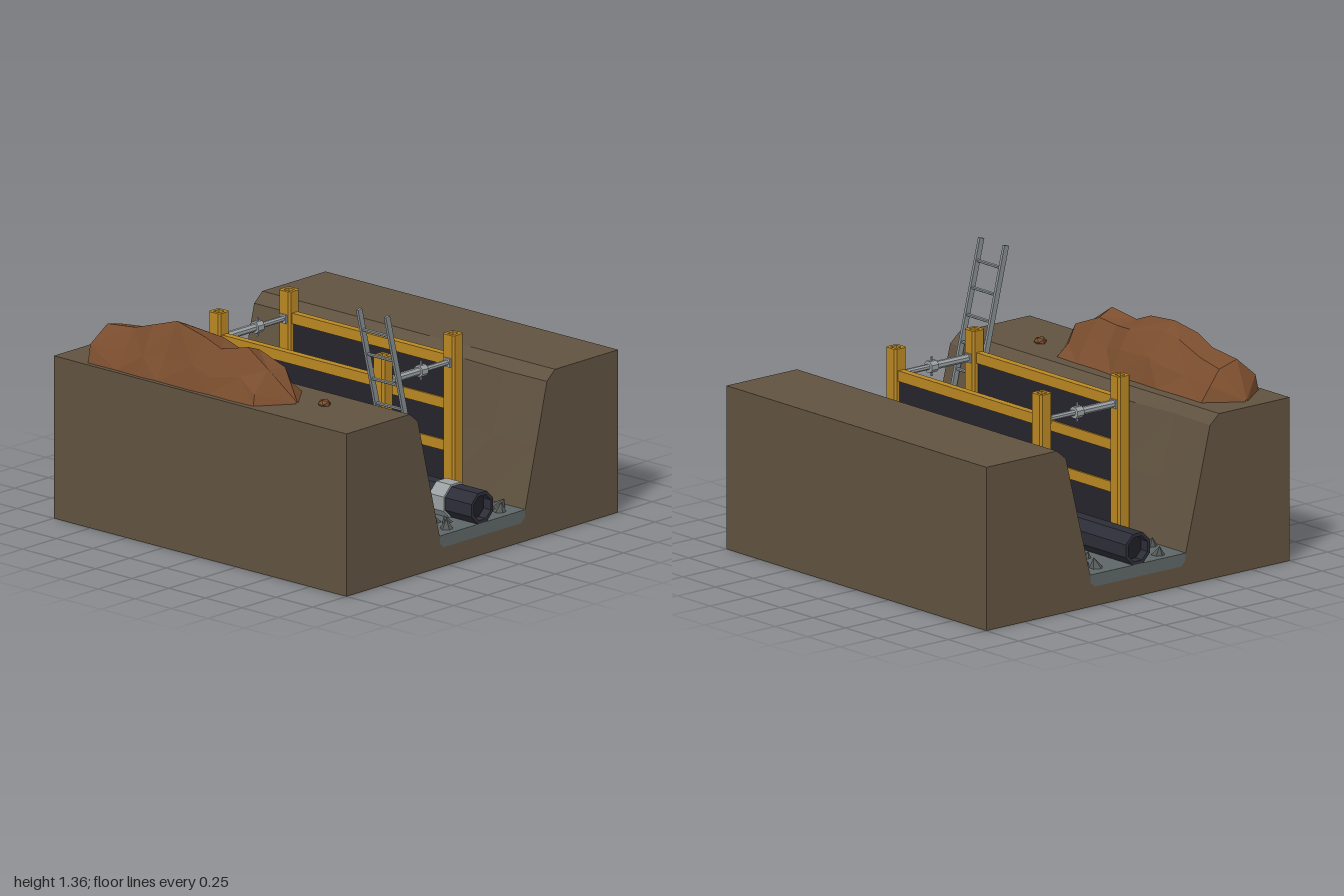
import * as THREE from 'three';

const mat = (name, color) => new THREE.MeshStandardMaterial({ name, color, flatShading: true });
const M = {
  earth: mat('earth', 0x605240),
  spoil: mat('spoil soil', 0x7a4d2e),
  gravel: mat('gravel', 0x5e6566),
  stone: mat('stone', 0x535857),
  yellow: mat('yellow steel', 0xb98722),
  panel: mat('dark panel', 0x25242c),
  pipe: mat('pipe', 0x2d2d38),
  hollow: mat('pipe hollow', 0x1d1d25),
  steel: mat('bright steel', 0x9ba1a4),
  ladder: mat('ladder metal', 0x868e90),
};

function seeded(seed) {
  let s = seed;
  return () => ((s = (s * 16807) % 2147483647) / 2147483647);
}

function part(parent, name, geo, material, x = 0, y = 0, z = 0) {
  const m = new THREE.Mesh(geo, material);
  m.name = name;
  m.position.set(x, y, z);
  parent.add(m);
  return m;
}

function group(parent, name) {
  const g = new THREE.Group();
  g.name = name;
  parent.add(g);
  return g;
}

const box = (w, h, d) => new THREE.BoxGeometry(w, h, d);
const toShape = (pts) => new THREE.Shape(pts.map(([x, y]) => new THREE.Vector2(x, y)));

// Extrusion along z, centred on z = 0
function extrude(shape, depth, steps = 1) {
  const g = new THREE.ExtrudeGeometry(shape, { depth, steps, bevelEnabled: false });
  return g.translate(0, 0, -depth / 2);
}

// Regular octagon with flat sides up, given the distance to its sides
function octagon(a) {
  const r = a / Math.cos(Math.PI / 8), pts = [];
  for (let i = 0; i < 8; i++) {
    const t = ((i + 0.5) * Math.PI) / 4;
    pts.push([Math.cos(t) * r, Math.sin(t) * r]);
  }
  return toShape(pts);
}

const cylX = (r, len, sides = 8) =>
  new THREE.CylinderGeometry(r, r, len, sides).rotateY(Math.PI / 8).rotateZ(Math.PI / 2);

// Block of ground with an open trench, walls slightly uneven
function buildGround(root) {
  const half = [[0.285, 0.1], [0.312, 0.125], [0.315, 0.165], [0.395, 0.48], [0.475, 0.8], [0.535, 0.85], [1, 0.85], [1, 0]];
  const left = half.map(([x, y]) => [-x, y]).reverse();
  const geo = extrude(toShape([...left, ...half]), 2, 7);
  const p = geo.attributes.position;
  for (let i = 0; i < p.count; i++) {
    const x = p.getX(i), y = p.getY(i), z = p.getZ(i);
    if (Math.abs(z) < 0.99 && y > 0.2 && y < 0.82 && Math.abs(x) < 0.9) {
      p.setX(i, x + 0.012 * Math.sin(z * 9 + y * 17 + x * 5));
    }
  }
  part(root, 'ground', geo, M.earth);
  const bed = half.slice(0, 3);
  const bedLeft = bed.map(([x, y]) => [-x, y]).reverse();
  part(root, 'gravelBed', extrude(toShape([...bedLeft, ...bed]), 2), M.gravel);
}

// Sharp stones lying on the gravel
function buildStones(root) {
  const stones = group(root, 'stones');
  const rnd = seeded(71);
  const spots = [
    [-0.19, -0.94, 4], [-0.11, -0.9, 2], [-0.27, -0.79, 4], [-0.14, -0.78, 3], [-0.11, -0.73, 4], [-0.18, -0.69, 4],
    [-0.27, -0.64, 4], [-0.15, -0.65, 3], [-0.2, -0.72, 3], [-0.12, 0.08, 4], [-0.12, 0.37, 4], [-0.22, 0.69, 3],
    [-0.12, 0.73, 3], [-0.21, 0.79, 3], [-0.15, 0.81, 3], [-0.12, 0.86, 3], [-0.19, 0.93, 4], [0.2, -0.9, 4],
    [0.28, -0.86, 4], [0.21, -0.82, 4], [0.12, -0.75, 3], [0.18, -0.74, 3], [0.26, -0.76, 3], [0.12, -0.68, 3],
    [0.17, -0.66, 4], [0.25, -0.66, 4], [0.14, -0.24, 4], [0.09, -0.11, 2], [0.18, 0.02, 2], [0.13, 0.63, 3],
    [0.18, 0.66, 4], [0.26, 0.67, 4], [0.12, 0.8, 3], [0.15, 0.87, 4], [0.21, 0.85, 3], [0.21, 0.93, 4], [0.27, 0.88, 4],
  ];
  for (const [x, z, s] of spots) {
    const r = s * 0.0105;
    const geo = new THREE.ConeGeometry(r, r * 1.45, 6);
    const m = part(stones, 'stone', geo, M.stone, x, 0.165 + r * 0.45, z);
    m.rotation.set((rnd() - 0.5) * 0.7, rnd() * 6, (rnd() - 0.5) * 0.7);
  }
}

// Hollow octagonal pipe with a bright coupling
function buildPipe(root) {
  const pipe = group(root, 'pipe');
  const ring = octagon(0.08);
  ring.holes.push(octagon(0.063));
  part(pipe, 'pipeWall', extrude(ring, 2), M.pipe, 0, 0.245, 0);
  part(pipe, 'pipeHollow', extrude(octagon(0.064), 1.9), M.hollow, 0, 0.245, 0);
  const sleeve = octagon(0.09);
  sleeve.holes.push(octagon(0.079));
  part(pipe, 'coupling', extrude(sleeve, 0.1), M.steel, 0, 0.245, 0.77);
}

// Shoring frame: hollow posts, rails, panels and adjustable struts
function buildShoring(root) {
  const shoring = group(root, 'shoring');
  const a = 0.039, c = 0.028, h = 0.02;
  const section = toShape([[a, -c], [a, c], [c, a], [-c, a], [-a, c], [-a, -c], [-c, -a], [c, -a]]);
  section.holes.push(toShape([[-h, -h], [-h, h], [h, h], [h, -h]]));
  const postGeo = extrude(section, 0.845).rotateX(-Math.PI / 2);
  for (const x of [-0.258, 0.258]) {
    for (const z of [-0.56, 0.56]) {
      part(shoring, 'post', postGeo, M.yellow, x, 0.5875, z);
      part(shoring, 'postCore', box(0.042, 0.8, 0.042), M.panel, x, 0.57, z);
    }
    part(shoring, 'sidePanel', box(0.02, 0.7, 1.05), M.panel, x, 0.525, 0);
    for (const y of [0.2, 0.42, 0.64, 0.87]) {
      part(shoring, 'rail', box(0.04, 0.055, 1.05), M.yellow, x, y, 0);
    }
  }
  for (const z of [-0.56, 0.56]) {
    const strut = group(shoring, 'strut');
    strut.position.set(0, 0.867, z);
    part(strut, 'outerTube', cylX(0.021, 0.24), M.steel, -0.1, 0, 0);
    part(strut, 'innerTube', cylX(0.015, 0.21), M.steel, 0.12, 0, 0);
    part(strut, 'collar', cylX(0.032, 0.045), M.steel, 0.024, 0, 0);
    part(strut, 'handle', box(0.009, 0.1, 0.009), M.steel, 0.024, 0, 0);
    for (const s of [-1, 1]) part(strut, 'endPlate', box(0.012, 0.045, 0.045), M.steel, s * 0.215, 0, 0);
  }
}

// Leaning ladder
function buildLadder(root) {
  const ladder = group(root, 'ladder');
  const foot = new THREE.Vector2(-0.298, 0.168), head = new THREE.Vector2(-0.59, 1.352);
  const dir = head.clone().sub(foot), mid = foot.clone().add(head).multiplyScalar(0.5);
  for (const z of [0.705, 0.895]) {
    const rail = part(ladder, 'ladderRail', box(0.03, dir.length(), 0.015), M.ladder, mid.x, mid.y, z);
    rail.rotation.z = Math.atan2(-dir.x, dir.y);
  }
  for (let i = 0; i < 8; i++) {
    const y = 0.295 + i * 0.135;
    const x = foot.x + (dir.x * (y - foot.y)) / dir.y;
    part(ladder, 'rung', new THREE.CylinderGeometry(0.009, 0.009, 0.19, 6).rotateX(Math.PI / 2), M.ladder, x, y, 0.8);
  }
}

// Heap of dug soil, lofted from sections along z
function buildSpoil(root) {
  const rnd = seeded(19);
  const rows = [ // z, crest height, width scale
    [0.46, 0.01, 0.04], [0.33, 0.16, 0.93], [0.17, 0.25, 0.97], [0.03, 0.215, 0.95], [-0.1, 0.255, 1],
    [-0.32, 0.285, 0.97], [-0.45, 0.245, 1], [-0.6, 0.2, 0.97], [-0.79, 0.18, 0.98], [-0.92, 0.01, 0.04],
  ];
  const profile = [[-0.195, 0], [-0.15, 0.5], [-0.065, 1], [0.05, 0.95], [0.125, 0.55], [0.19, 0]];
  const n = profile.length, pos = [], idx = [];
  rows.forEach(([z, h, w], r) => {
    const inner = r > 0 && r < rows.length - 1;
    profile.forEach(([x, y], k) => {
      const j = inner && y > 0 ? 1 : 0;
      const sink = k === 2 ? 0 : j * rnd() * 0.03;
      pos.push(-0.783 + x * w + j * (rnd() - 0.5) * 0.045, 0.85 + y * h - sink, z + j * (rnd() - 0.5) * 0.04);
    });
    if (r === 0) return;
    for (let k = 0; k < n - 1; k++) {
      const a = (r - 1) * n + k, b = a + n;
      if ((r + k) % 2) idx.push(a, a + 1, b, a + 1, b + 1, b);
      else idx.push(a, a + 1, b + 1, a, b + 1, b);
    }
  });
  // Rows run from +z to -z, so flip each face outward
  const out = [];
  for (let i = 0; i < idx.length; i += 3) out.push(idx[i], idx[i + 1], idx[i + 2]);
  const geo = new THREE.BufferGeometry();
  geo.setAttribute('position', new THREE.Float32BufferAttribute(pos, 3));
  geo.setIndex(out);
  geo.computeVertexNormals();
  part(root, 'spoilHeap', geo, M.spoil);
  const clod = part(root, 'soilClod', new THREE.IcosahedronGeometry(0.035, 0), M.spoil, -0.71, 0.86, 0.58);
  clod.scale.y = 0.7;
}

export function createModel() {
  const root = new THREE.Group();
  root.name = 'shoredTrench';
  buildGround(root);
  buildStones(root);
  buildPipe(root);
  buildShoring(root);
  buildLadder(root);
  buildSpoil(root);
  return root;
}
